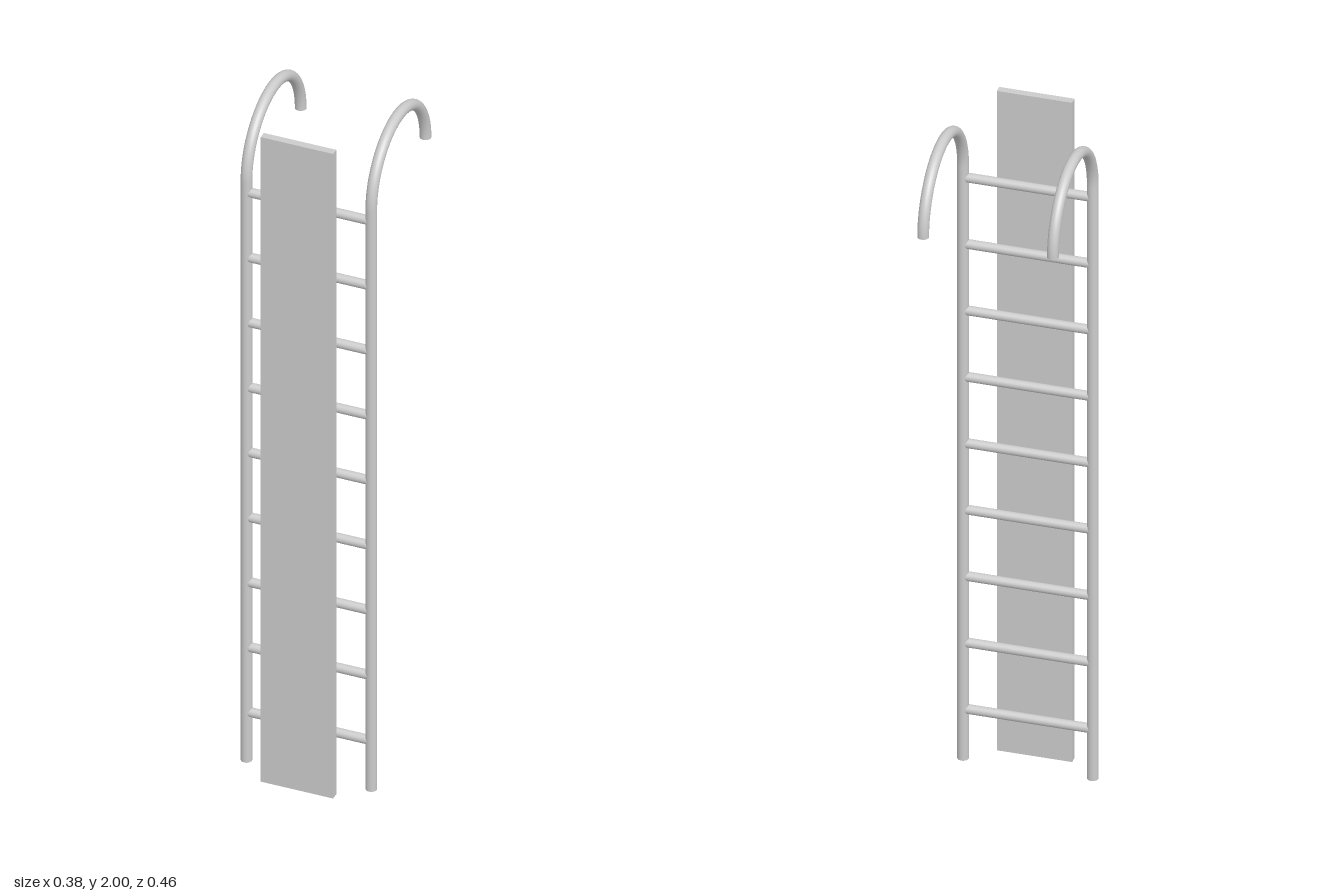
import * as THREE from 'three';

const material = new THREE.MeshStandardMaterial({ color: 0xcccccc });

const RAIL_X = 0.174, RAIL_Z = 0.148, RAIL_R = 0.0152;
const HOOK_R = 0.181, HOOK_Y = 1.797;
const RUNG_R = 0.0128, RUNG_COUNT = 9, RUNG_START = 0.15, RUNG_STEP = 0.2015;

function addMesh(parent, name, geometry, x, y, z) {
  const mesh = new THREE.Mesh(geometry, material);
  mesh.name = name;
  mesh.position.set(x, y, z);
  parent.add(mesh);
  return mesh;
}

// Upright tube that bends over backwards into a half-circle hook
function createRail(name, x) {
  const rail = new THREE.Group();
  rail.name = name;
  addMesh(rail, 'upright', new THREE.CylinderGeometry(RAIL_R, RAIL_R, HOOK_Y, 24), x, HOOK_Y / 2, RAIL_Z);
  const arc = new THREE.TorusGeometry(HOOK_R, RAIL_R, 24, 64, Math.PI).rotateY(Math.PI / 2);
  addMesh(rail, 'hook', arc, x, HOOK_Y, RAIL_Z - HOOK_R);
  const cap = new THREE.CircleGeometry(RAIL_R, 24).rotateX(Math.PI / 2);
  addMesh(rail, 'hookEnd', cap, x, HOOK_Y, RAIL_Z - 2 * HOOK_R);
  return rail;
}

export function createModel() {
  const model = new THREE.Group();
  model.name = 'ladder';

  model.add(createRail('leftRail', RAIL_X), createRail('rightRail', -RAIL_X));

  // Rungs between the rails
  const rungs = new THREE.Group();
  rungs.name = 'rungs';
  const rungGeometry = new THREE.CylinderGeometry(RUNG_R, RUNG_R, 2 * RAIL_X, 20).rotateZ(Math.PI / 2);
  for (let i = 0; i < RUNG_COUNT; i++) {
    addMesh(rungs, `rung${i + 1}`, rungGeometry, 0, RUNG_START + i * RUNG_STEP, RAIL_Z);
  }
  model.add(rungs);

  // Flat board standing in front of the rungs
  addMesh(model, 'frontPanel', new THREE.BoxGeometry(0.202, 2, 0.021), 0, 1, 0.2175);

  return model;
}
